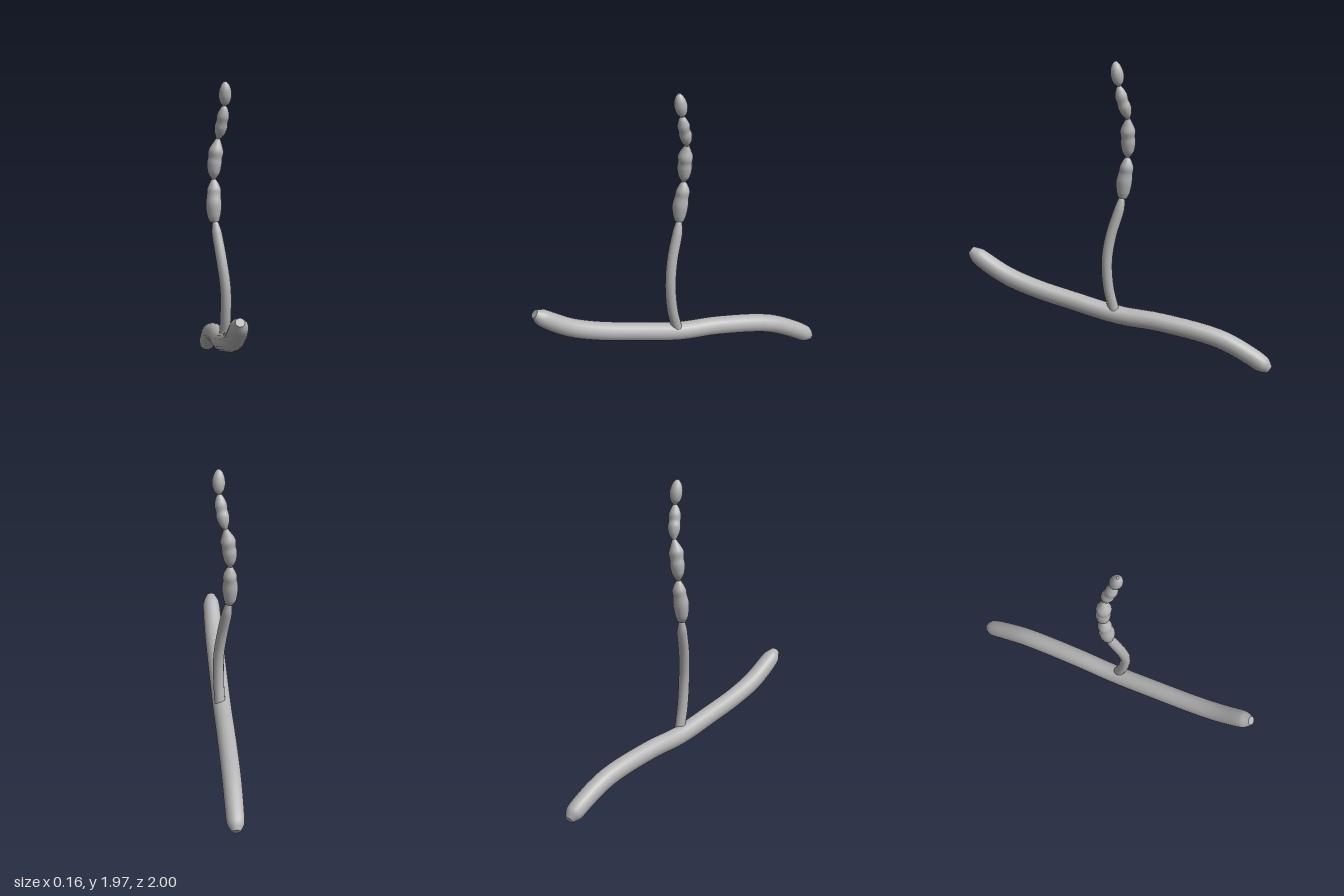
import * as THREE from 'three';

// Sweeps a round section along [x, y, z, radius] stations, with flat closed ends
function sweep(stations, sides, stepsPerStation) {
  const path = new THREE.CatmullRomCurve3(stations.map(([x, y, z]) => new THREE.Vector3(x, y, z)));
  const radii = new THREE.CatmullRomCurve3(
    stations.map((s, i) => new THREE.Vector3(i, s[3], 0)), false, 'catmullrom', 0.5);
  const steps = (stations.length - 1) * stepsPerStation;

  // Each row is [parameter, radius scale]; end rings are doubled for a crisp cap edge
  const rows = [[0, 0], [0, 1]];
  for (let i = 0; i <= steps; i++) rows.push([i / steps, 1]);
  rows.push([1, 1], [1, 0]);

  const positions = [];
  const index = [];
  const xAxis = new THREE.Vector3(1, 0, 0);
  rows.forEach(([t, scale], i) => {
    const p = path.getPoint(t);
    const tangent = path.getTangent(t);
    const binormal = tangent.clone().cross(xAxis).normalize();
    const normal = binormal.clone().cross(tangent);
    const r = Math.max(0.005, radii.getPoint(t).y) * scale;
    for (let j = 0; j < sides; j++) {
      const a = (j / sides) * Math.PI * 2;
      const v = p.clone()
        .addScaledVector(normal, Math.cos(a) * r)
        .addScaledVector(binormal, Math.sin(a) * r);
      positions.push(v.x, v.y, v.z);
    }
    if (i === 0 || i === 2 || i === rows.length - 2) return;
    for (let j = 0; j < sides; j++) {
      const k = (j + 1) % sides;
      const lo = (i - 1) * sides;
      const hi = i * sides;
      index.push(lo + j, lo + k, hi + k, lo + j, hi + k, hi + j);
    }
  });
  // Rows 2 and the next-to-last cap ring start fresh strips; join the last cap to its centre
  const geometry = new THREE.BufferGeometry();
  geometry.setAttribute('position', new THREE.Float32BufferAttribute(positions, 3));
  geometry.setIndex(index);
  geometry.computeVertexNormals();
  return geometry;
}

export function createModel() {
  const group = new THREE.Group();
  const grey = new THREE.MeshStandardMaterial({ color: 0xb4b4b4 });
  grey.name = 'plain grey';

  const add = (name, stations, sides, steps) => {
    const mesh = new THREE.Mesh(sweep(stations, sides, steps), grey);
    mesh.name = name;
    group.add(mesh);
  };

  // Thick sloping branch running front to back
  add('branch', [
    [0.015, 0.685, 0.985, 0.028],
    [0.015, 0.645, 0.935, 0.056],
    [0.015, 0.53, 0.75, 0.061],
    [0.015, 0.455, 0.55, 0.061],
    [0.015, 0.39, 0.3, 0.061],
    [0.015, 0.32, 0, 0.061],
    [0.015, 0.292, -0.28, 0.061],
    [0.015, 0.215, -0.66, 0.061],
    [0.015, 0.125, -0.85, 0.059],
    [0.015, 0.065, -0.945, 0.054],
    [0.015, 0.035, -0.985, 0.028],
  ], 16, 5);

  // Slender curved stem
  add('stem', [
    [0.03, 0.36, 0.025, 0.034],
    [0.035, 0.5, 0.058, 0.035],
    [0.033, 0.68, 0.07, 0.035],
    [0.012, 0.85, 0.048, 0.035],
    [-0.014, 1.02, 0, 0.033],
    [-0.022, 1.08, -0.013, 0.022],
    [-0.025, 1.1, -0.018, 0.014],
  ], 14, 5);

  // Beaded pods: three with a double swelling, one plain at the tip
  const pods = [
    [[-0.025, 1.095, -0.018, 0.028], [-0.03, 1.13, -0.022, 0.042], [-0.031, 1.2, -0.028, 0.051],
      [-0.03, 1.26, -0.038, 0.045], [-0.028, 1.3, -0.045, 0.044], [-0.029, 1.34, -0.049, 0.027],
      [-0.03, 1.365, -0.051, 0.01]],
    [[-0.03, 1.36, -0.051, 0.012], [-0.028, 1.4, -0.053, 0.037], [-0.025, 1.455, -0.055, 0.047],
      [-0.02, 1.495, -0.055, 0.045], [-0.014, 1.54, -0.055, 0.048], [-0.005, 1.59, -0.058, 0.027],
      [0, 1.62, -0.06, 0.012]],
    [[0, 1.615, -0.06, 0.012], [0.008, 1.65, -0.052, 0.032], [0.015, 1.69, -0.042, 0.041],
      [0.021, 1.725, -0.031, 0.037], [0.027, 1.765, -0.022, 0.039], [0.032, 1.805, -0.014, 0.026],
      [0.034, 1.83, -0.012, 0.01]],
    [[0.034, 1.825, -0.013, 0.01], [0.036, 1.85, -0.008, 0.031], [0.037, 1.89, -0.001, 0.041],
      [0.037, 1.93, 0.006, 0.037], [0.036, 1.96, 0.01, 0.025], [0.035, 1.98, 0.012, 0.008]],
  ];
  pods.forEach((stations, i) => add(`pod${i + 1}`, stations, 16, 5));

  return group;
}
